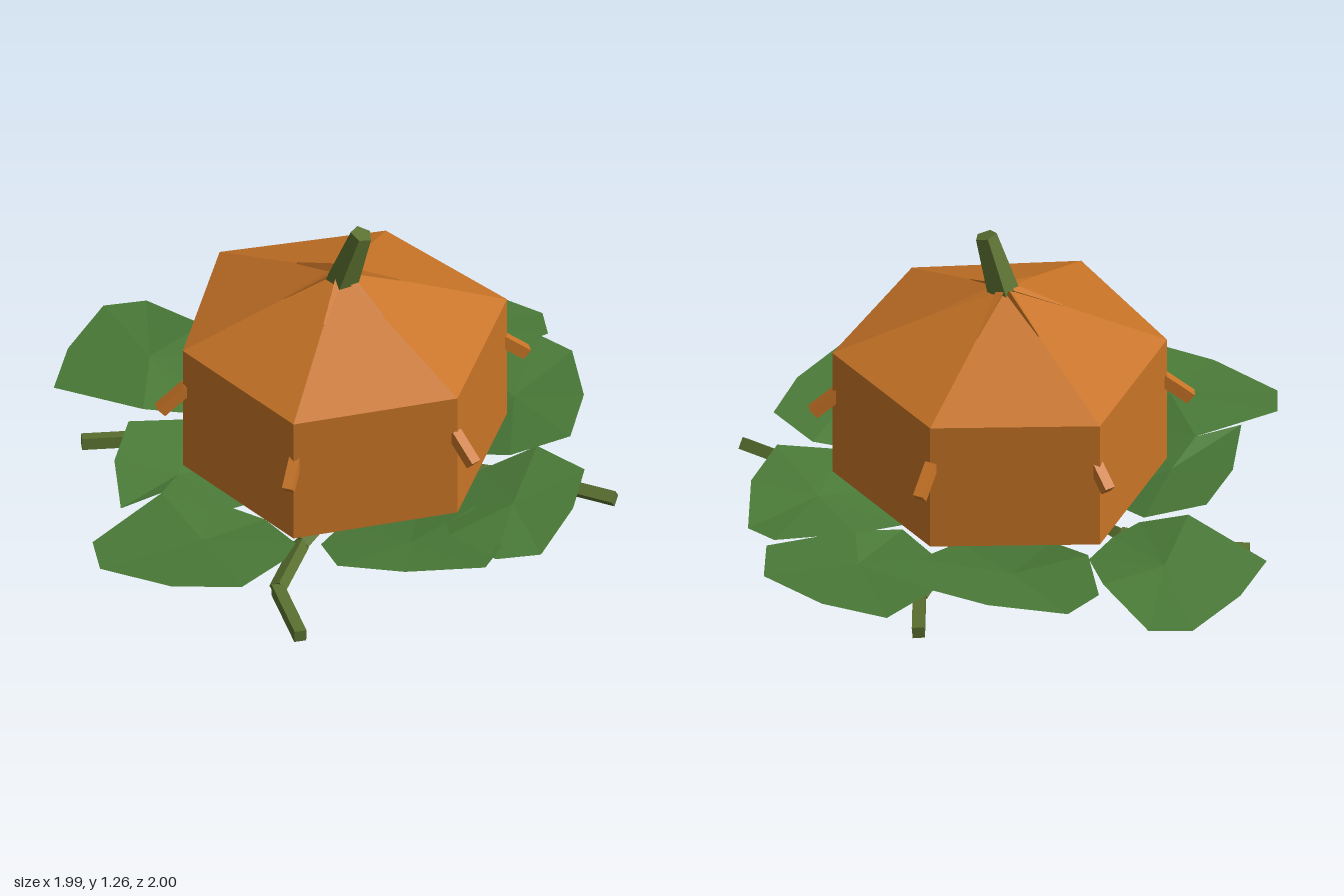
import * as THREE from 'three';

const mat = (name, color) => {
  const m = new THREE.MeshStandardMaterial({ color, side: THREE.DoubleSide, flatShading: true });
  m.name = name;
  return m;
};
const V = (x, y, z) => new THREE.Vector3(x, y, z);
const CX = 0.04, CZ = 0.07; // pumpkin axis

// Flat-faced geometry from a list of triangles (each three Vector3)
function facets(tris) {
  const g = new THREE.BufferGeometry().setFromPoints(tris.flat());
  g.computeVertexNormals();
  return g;
}

// Tapered rod between two points
function rod(name, a, b, r0, r1, sides, material, twist = Math.PI / 4) {
  const d = b.clone().sub(a);
  const g = new THREE.CylinderGeometry(r1, r0, d.length(), sides);
  g.rotateY(twist);
  const m = new THREE.Mesh(g, material);
  m.name = name;
  m.position.copy(a).add(b).multiplyScalar(0.5);
  m.quaternion.setFromUnitVectors(V(0, 1, 0), d.normalize());
  return m;
}

// Leaves dip under the pumpkin, rise to a rim and droop at the tips
function leafHeight(x, z) {
  const r = Math.hypot(x - CX, z - CZ);
  const keys = [[0, 0.17], [0.38, 0.18], [0.72, 0.285], [0.95, 0.29], [1.12, 0.245], [2, 0.24]];
  for (let i = 1; i < keys.length; i++) {
    const [r0, y0] = keys[i - 1], [r1, y1] = keys[i];
    if (r <= r1) return y0 + (y1 - y0) * (r - r0) / (r1 - r0);
  }
  return 0.24;
}

// Leaf as a fan around its centre; outline runs counter-clockwise or clockwise
function leaf(outline, material) {
  const pts = outline.map(([x, z]) => V(x, leafHeight(x, z), z));
  const c = pts.reduce((s, p) => s.add(p), V(0, 0, 0)).divideScalar(pts.length);
  c.y = leafHeight(c.x, c.z) - 0.01;
  const tris = pts.map((p, i) => {
    const q = pts[(i + 1) % pts.length];
    const up = (p.z - c.z) * (q.x - c.x) - (p.x - c.x) * (q.z - c.z) > 0;
    return up ? [c, p, q] : [c, q, p];
  });
  const m = new THREE.Mesh(facets(tris), material);
  m.name = 'leaf';
  return m;
}

export function createModel() {
  const model = new THREE.Group();
  model.name = 'pumpkin';
  const orange = mat('pumpkin orange', 0xc87426);
  const green = mat('leaf green', 0x4a7a38);
  const olive = mat('stem olive', 0x5a7030);

  // Six-sided body with a pointed top and bottom
  const corners = [[0.66, 0.06], [0.335, -0.455], [-0.285, -0.48], [-0.565, 0.07], [-0.285, 0.605], [0.335, 0.6]];
  const top = V(0.03, 1.07, 0.07), bottom = V(0.025, 0.01, 0.07);
  const tris = [];
  corners.forEach(([x, z], i) => {
    const [x2, z2] = corners[(i + 1) % 6];
    const a = V(x, 0.29, z), b = V(x2, 0.29, z2), c = V(x2, 0.81, z2), d = V(x, 0.81, z);
    tris.push([a, b, c], [a, c, d], [d, c, top], [b, a, bottom]);
  });
  const body = new THREE.Mesh(facets(tris), orange);
  body.name = 'body';
  model.add(body);

  // Nub on every corner and a small ridge beside the stem
  const nub = new THREE.BoxGeometry(0.135, 0.045, 0.04);
  corners.forEach(([x, z]) => {
    const angle = Math.atan2(-(z - CZ), x - CX);
    const holder = new THREE.Group();
    holder.name = 'cornerNub';
    holder.position.set(CX, 0, CZ);
    holder.rotation.y = angle;
    const m = new THREE.Mesh(nub, orange);
    m.name = 'nub';
    m.position.set(0.64, 0.6, 0);
    m.rotation.z = -0.7;
    holder.add(m);
    model.add(holder);
    const at = (t) => top.clone().lerp(V(x, 0.81, z), t);
    model.add(rod('topRidge', at(0.05), at(0.36), 0.02, 0.004, 3, orange));
  });

  // Stem
  model.add(rod('stem', V(0.03, 1.02, 0.085), V(0.095, 1.26, 0.125), 0.064, 0.042, 5, olive));

  // Leaf outlines as x, z pairs
  const leaves = [
    [[-0.59, -1], [-0.43, -0.99], [-0.28, -0.74], [-0.24, -0.55], [-0.34, -0.36], [-0.44, -0.28], [-0.62, -0.3], [-0.89, -0.56], [-0.78, -0.78]],
    [[-0.14, -0.91], [0.15, -0.85], [0.36, -0.73], [0.38, -0.5], [0.22, -0.28], [-0.12, -0.3], [-0.24, -0.5], [-0.26, -0.81]],
    [[0.52, -0.87], [0.75, -0.75], [0.95, -0.55], [0.93, -0.39], [0.6, -0.3], [0.42, -0.22], [0.32, -0.45], [0.34, -0.74]],
    [[0.9, -0.37], [0.99, -0.27], [0.96, 0.02], [0.85, 0.25], [0.62, 0.26], [0.42, 0.1], [0.42, -0.18], [0.6, -0.33]],
    [[0.57, 0.91], [0.4, 0.91], [0.28, 0.7], [0.32, 0.42], [0.5, 0.28], [0.72, 0.27], [0.85, 0.46], [0.75, 0.68]],
    [[0.35, 0.95], [0.06, 0.9], [-0.17, 0.8], [-0.18, 0.6], [-0.05, 0.42], [0.25, 0.36], [0.42, 0.52], [0.44, 0.84]],
    [[-0.54, 0.84], [-0.35, 0.72], [-0.27, 0.58], [-0.33, 0.36], [-0.5, 0.24], [-0.68, 0.21], [-0.99, 0.4], [-1, 0.55], [-0.78, 0.74]],
    [[-0.85, 0.27], [-0.8, -0.02], [-0.69, -0.24], [-0.46, -0.25], [-0.32, -0.02], [-0.36, 0.24], [-0.5, 0.33], [-0.68, 0.21]],
  ];
  leaves.forEach((o) => model.add(leaf(o, green)));

  // Four crooked vines spreading under the leaves
  const vines = [
    [[-0.13, 0.05], [-0.38, -0.21], [-0.62, -0.31], [-0.84, -0.345]],
    [[0.04, 0.2], [-0.22, 0.46], [-0.37, 0.7], [-0.36, 1]],
    [[0.22, 0.07], [0.5, 0.18], [0.77, 0.33], [0.96, 0.475]],
    [[0.05, -0.05], [0.28, -0.32], [0.38, -0.55], [0.4, -0.8]],
  ];
  vines.forEach((path) => {
    const vine = new THREE.Group();
    vine.name = 'vine';
    for (let i = 0; i < 3; i++) {
      const [a, b] = [path[i], path[i + 1]].map(([x, z]) => V(x, 0.145, z));
      vine.add(rod('vineSegment', a, b, i ? 0.032 : 0.012, 0.032, 4, olive));
    }
    model.add(vine);
  });
  return model;
}
